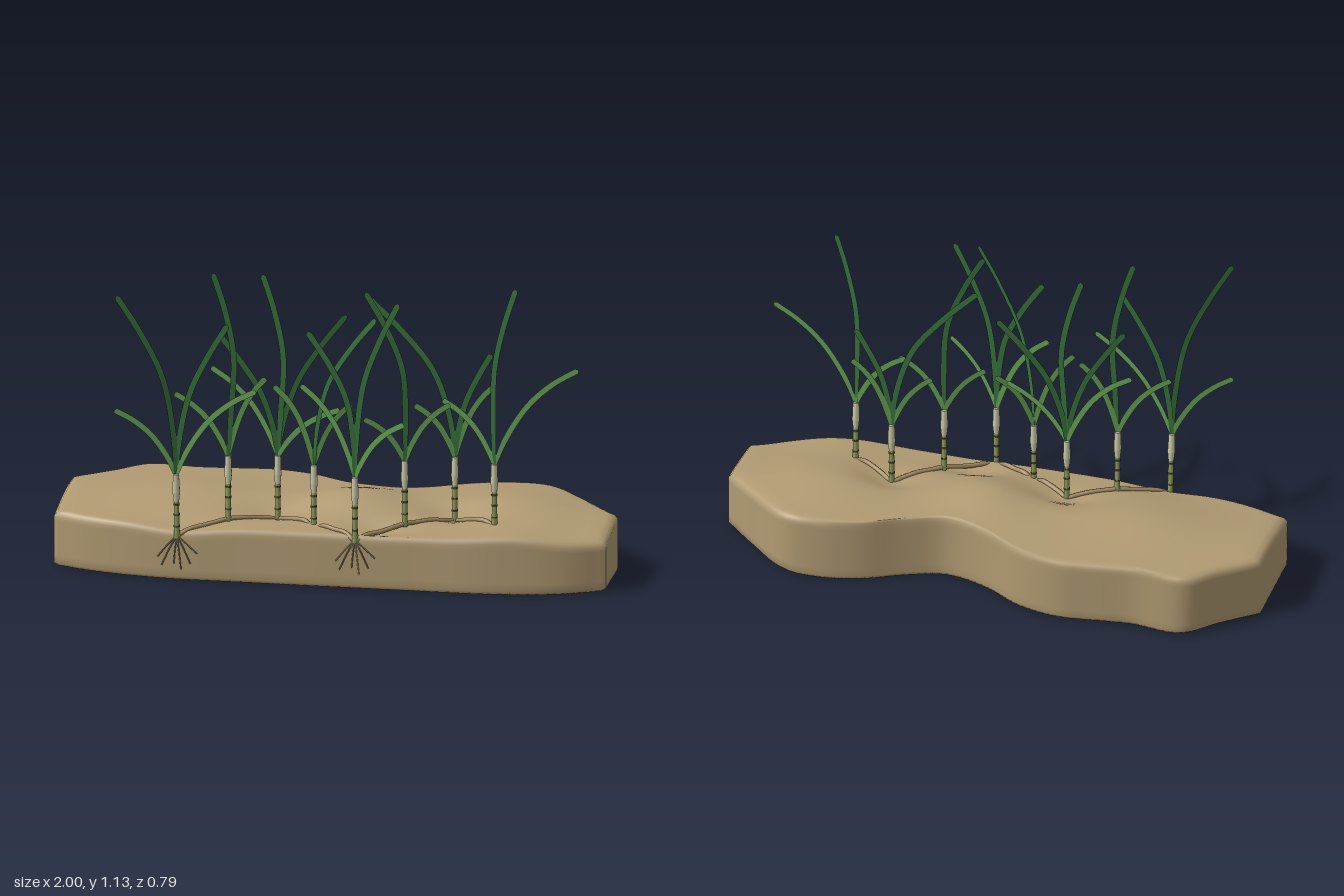
import * as THREE from 'three';

const mat = (name, color, side = THREE.FrontSide) => {
  const m = new THREE.MeshStandardMaterial({ color, side });
  m.name = name;
  return m;
};
const V = (x, y, z) => new THREE.Vector3(x, y, z);
const gauss = (x, z, cx, cz, rx, rz) => Math.exp(-(((x - cx) / rx) ** 2) - ((z - cz) / rz) ** 2);

// Height of the sand surface: rises from the front, with soft mounds and hollows
function sandHeight(x, z) {
  const rise = 1 - THREE.MathUtils.smoothstep(z, -0.1, 0.27);
  return 0.198 + 0.036 * rise
    + 0.045 * gauss(x, z, 0.07, -0.02, 0.17, 0.15)
    + 0.022 * gauss(x, z, -0.55, -0.05, 0.22, 0.2)
    + 0.025 * gauss(x, z, 0.62, -0.1, 0.2, 0.2)
    + 0.012 * gauss(x, z, 0.65, 0.25, 0.15, 0.12)
    - 0.028 * gauss(x, z, -0.2, 0.07, 0.11, 0.07)
    - 0.035 * gauss(x, z, 0.43, 0.01, 0.1, 0.08)
    - 0.025 * gauss(x, z, 0.17, 0.18, 0.11, 0.06)
    - 0.02 * gauss(x, z, -0.53, 0.27, 0.15, 0.08)
    - 0.018 * THREE.MathUtils.smoothstep(x, 0.7, 1);
}

// Sand slab: one outline repeated as rings from the underside to the middle of the top
function sandGeometry() {
  const path = (pts, n) => new THREE.CatmullRomCurve3(pts.map(([x, z]) => V(x, 0, z)), false, 'centripetal').getPoints(n);
  const front = path([[-1, 0.17], [-0.85, 0.223], [-0.6, 0.265], [-0.3, 0.27], [0, 0.272], [0.3, 0.272], [0.6, 0.27], [0.85, 0.228], [1, 0.16]], 60);
  const back = path([[1, -0.1], [0.87, -0.23], [0.73, -0.35], [0.6, -0.366], [0.45, -0.335], [0.3, -0.265], [0.16, -0.225],
    [0, -0.27], [-0.15, -0.36], [-0.3, -0.398], [-0.42, -0.39], [-0.58, -0.375], [-0.77, -0.39], [-0.88, -0.29], [-1, -0.19]], 80);
  const end = (a, b) => [0.04, 0.25, 0.5, 0.75, 0.96].map(t => a.clone().lerp(b, t));
  const outline = [...front, ...end(front[60], back[0]), ...back, ...end(back[80], front[0])];
  const n = outline.length;
  // [inset, height as a fraction of the side, or 1 for the surface], then the shrinking top
  const rings = [[1, 0, 0], [0.02, 0, 0], [0, 0.025, 0.012], [0, 0, 0.04], [0, 0, 0.1], [0, 1, -0.035], [0, 1, -0.02],
    [0.012, 1, -0.006], [0.035, 1, 0]];
  for (let k = 1; k <= 20; k++) rings.push([0.035 + 0.965 * k / 20, 1, 0]);
  const pos = [], index = [];
  for (const [inset, follow, dy] of rings) {
    for (const p of outline) {
      const x = p.x * (1 - inset), z = -0.04 + (p.z + 0.04) * (1 - inset);
      pos.push(x, follow === 1 ? sandHeight(x, z) + dy : dy, z);
    }
  }
  for (let r = 0; r < rings.length - 1; r++) {
    for (let i = 0; i < n; i++) {
      const j = (i + 1) % n, a = r * n + i, b = r * n + j, c = b + n, d = a + n;
      index.push(a, b, c, a, c, d);
    }
  }
  const g = new THREE.BufferGeometry();
  g.setAttribute('position', new THREE.Float32BufferAttribute(pos, 3));
  g.setIndex(index);
  g.computeVertexNormals();
  return g;
}

// Flat leaf blade whose width lies in the plane it bends in, with a rounded tip
function leafGeometry(points, width) {
  const curve = new THREE.CatmullRomCurve3(points, false, 'centripetal');
  const d = points[points.length - 1].clone().sub(points[0]);
  if (Math.abs(d.x) < 0.15) d.x = 0.15 * (Math.sign(d.x) || 1);
  const normal = V(-d.z, 0, d.x).normalize();
  const pos = [], index = [], N = 20;
  for (let i = 0; i <= N; i++) {
    const t = i === N - 1 ? 0.985 : i / N;
    const p = curve.getPointAt(t);
    const side = curve.getTangentAt(t).cross(normal).normalize();
    side.multiplyScalar(width / 2 * (i === N ? 0.45 : Math.min(1, 0.6 + t * 2)));
    pos.push(...p.clone().add(side).toArray(), ...p.clone().sub(side).toArray());
    if (i < N) index.push(2 * i, 2 * i + 1, 2 * i + 2, 2 * i + 1, 2 * i + 3, 2 * i + 2);
  }
  const g = new THREE.BufferGeometry();
  g.setAttribute('position', new THREE.Float32BufferAttribute(pos, 3));
  g.setIndex(index);
  g.computeVertexNormals();
  return g;
}

// Shoots: base x, z, crown z, then leaves as tip x, y, z and sideways bow of the middle
const SHOOTS = [
  { x: -0.535, z: 0.272, top: 0.295, y: 0.165, tall: [[-0.735, 1.08, 0.39, 0.06], [-0.35, 0.96, 0.285, -0.04]], low: [[-0.75, 0.64, 0.34], [-0.235, 0.74, 0.355]] },
  { x: -0.365, z: 0.18, top: 0.185, y: 0.21, tall: [[-0.415, 1.13, 0.215, 0.07]], low: [[-0.555, 0.675, 0.21], [-0.235, 0.73, 0.15]] },
  { x: -0.2, z: 0.1, top: 0.1, y: 0.195, tall: [[-0.255, 1.1, 0.1, 0.07], [-0.4, 0.88, 0.15, 0.03], [0.035, 0.94, 0.02, -0.04]], low: [[-0.445, 0.74, 0.08], [0.03, 0.62, 0.13]] },
  { x: -0.055, z: 0.18, top: 0.18, y: 0.19, tall: [[0.2, 1.03, 0.355, -0.06]], low: [[-0.195, 0.72, 0.21], [0.07, 0.64, 0.12]] },
  { x: 0.11, z: 0.27, top: 0.273, y: 0.18, tall: [[-0.06, 0.95, 0.285, 0.06], [0.27, 1.07, 0.285, -0.05]], low: [[-0.09, 0.74, 0.25], [0.3, 0.64, 0.345]] },
  { x: 0.27, z: 0.15, top: 0.155, y: 0.215, tall: [[0.135, 1.08, 0.195, 0.08]], low: [[0.13, 0.61, 0.2], [0.43, 0.66, 0.13]] },
  { x: 0.43, z: 0.03, top: 0.027, y: 0.2, tall: [[0.12, 1.02, 0.05, 0.08], [0.56, 0.82, 0.015, -0.02]], low: [[0.29, 0.63, 0.06], [0.57, 0.7, 0]] },
  { x: 0.59, z: 0.12, top: 0.128, y: 0.21, tall: [[0.675, 1.11, 0.165, -0.05]], low: [[0.4, 0.67, 0.11], [0.895, 0.81, 0.13]] },
];

export function createModel() {
  const model = new THREE.Group();
  const sand = mat('sand', 0xb09a72);
  const darkLeaf = mat('dark leaf', 0x376f3b, THREE.DoubleSide);
  const lightLeaf = mat('light leaf', 0x639b52, THREE.DoubleSide);
  const sheath = mat('pale sheath', 0xcccaa6);
  const stem = mat('stem green', 0x8f9c5c);
  const node = mat('node brown', 0x4d4a2c);
  const runner = mat('rhizome tan', 0x9c8458);
  const root = mat('root', 0xa89c7c);

  const add = (parent, name, geometry, material) => {
    const m = new THREE.Mesh(geometry, material);
    m.name = name;
    parent.add(m);
    return m;
  };
  // Straight rod between two points
  const rod = (parent, name, a, b, r0, r1, material) => {
    const m = add(parent, name, new THREE.CylinderGeometry(r1, r0, a.distanceTo(b), 10), material);
    m.position.copy(a).lerp(b, 0.5);
    m.quaternion.setFromUnitVectors(V(0, 1, 0), b.clone().sub(a).normalize());
  };

  add(model, 'sandBed', sandGeometry(), sand);

  // Rhizome creeping from shoot to shoot, with dark joints
  const creep = new THREE.CurvePath();
  SHOOTS.slice(1).forEach((s, i) => {
    const p = SHOOTS[i];
    creep.add(new THREE.LineCurve3(V(p.x, p.y, p.z), V(s.x, s.y, s.z)));
  });
  const creepPoints = creep.curves.flatMap(c => [0, 0.25, 0.5, 0.75].map(t => {
    const p = c.getPoint(t);
    if (t > 0) p.y = Math.max(p.y, sandHeight(p.x, p.z) + 0.003);
    return p;
  }));
  const last = SHOOTS[SHOOTS.length - 1];
  creepPoints.push(V(last.x, last.y, last.z));
  const creepCurve = new THREE.CatmullRomCurve3(creepPoints, false, 'centripetal');
  add(model, 'rhizome', new THREE.TubeGeometry(creepCurve, 120, 0.009, 8), runner);

  SHOOTS.forEach((s, k) => {
    const shoot = new THREE.Group();
    shoot.name = 'shoot' + (k + 1);
    model.add(shoot);
    const foot = V(s.x, s.y - 0.01, s.z), crown = V(s.x, s.y + 0.235, s.top);
    const at = t => foot.clone().lerp(crown, t);

    // Jointed stem and pale sheath
    rod(shoot, 'stem', foot, at(0.62), 0.0105, 0.009, stem);
    for (const t of [0.18, 0.36, 0.52]) rod(shoot, 'stemNode', at(t), at(t + 0.025), 0.0115, 0.0115, node);
    rod(shoot, 'lowerSheath', at(0.58), at(0.72), 0.01, 0.0135, sheath);
    rod(shoot, 'upperSheath', at(0.72), at(1), 0.0135, 0.011, sheath);

    // Tall dark leaves, then low arching light leaves
    const base = at(0.97);
    for (const [x, y, z, bow] of s.tall) {
      const tip = V(x, y, z);
      const mid = (t, ease, b) => V(
        base.x + (x - base.x) * ease + b, base.y + (y - base.y) * t, base.z + (z - base.z) * ease);
      add(shoot, 'tallLeaf', leafGeometry([base, mid(0.25, 0.12, bow * 0.25), mid(0.55, 0.4, bow * 0.6), mid(0.8, 0.72, bow * 0.4), tip], 0.022), darkLeaf);
    }
    for (const [x, y, z] of s.low) {
      const tip = V(x, y, z), dx = x - base.x, dy = y - base.y, dz = z - base.z;
      const mid = (u, t) => V(base.x + dx * u, base.y + dy * t, base.z + dz * u);
      add(shoot, 'lowLeaf', leafGeometry([base, mid(0.13, 0.27), mid(0.4, 0.62), mid(0.7, 0.85), tip], 0.021), lightLeaf);
    }
  });

  // Fine roots hanging over the front edge
  for (const s of [SHOOTS[0], SHOOTS[4]]) {
    [[-0.07, -0.08], [-0.055, -0.11], [-0.01, -0.1], [0.015, -0.125], [0.05, -0.1], [0.075, -0.06]].forEach(([dx, dy], i) => {
      const curve = new THREE.CatmullRomCurve3([
        V(s.x, s.y, s.z), V(s.x + dx * 0.45, s.y + dy * 0.4, 0.276 + 0.004 * (i % 3)), V(s.x + dx, s.y + dy, 0.275 + 0.006 * (i % 3))]);
      add(model, 'root', new THREE.TubeGeometry(curve, 10, 0.0025, 5), root);
    });
  }
  return model;
}
